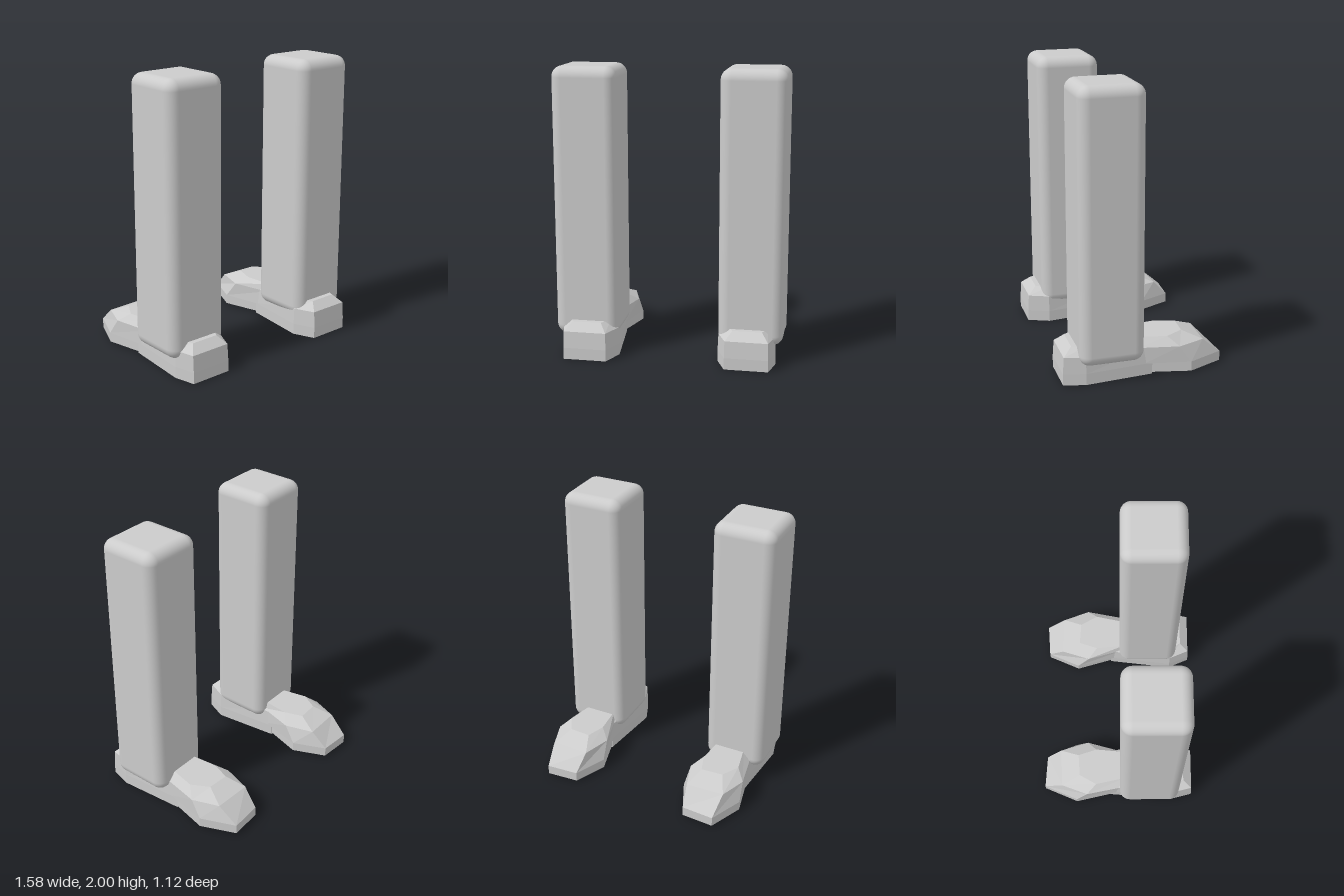
import * as THREE from 'three';
import { RoundedBoxGeometry } from 'three/addons/geometries/RoundedBoxGeometry.js';

const smooth = new THREE.MeshStandardMaterial({ color: 0xcccccc });
const faceted = new THREE.MeshStandardMaterial({ color: 0xcccccc, flatShading: true });

// Joins closed rings { y, pts: [x, z] } from bottom to top and caps both ends.
// Points run clockwise seen from above; side = -1 mirrors across x.
function loft(rings, side) {
  const n = rings[0].pts.length;
  const pos = [];
  const index = [];
  for (const { y, pts } of rings) {
    const ring = pts.map(([x, z]) => [x * side, y, z]);
    if (side < 0) ring.reverse();
    ring.forEach((p) => pos.push(...p));
  }
  for (let r = 0; r < rings.length - 1; r++) {
    for (let i = 0; i < n; i++) {
      const a = r * n + i, b = r * n + (i + 1) % n;
      index.push(a, a + n, b, b, a + n, b + n);
    }
  }
  const top = (rings.length - 1) * n;
  for (let i = 1; i < n - 1; i++) {
    index.push(0, i, i + 1);
    index.push(top, top + i + 1, top + i);
  }
  const g = new THREE.BufferGeometry();
  g.setAttribute('position', new THREE.Float32BufferAttribute(pos, 3));
  g.setIndex(index);
  const flat = g.toNonIndexed();
  flat.computeVertexNormals();
  return flat;
}

// Outlines of the left shoe
const heelBase = [[0.705, 0.56], [0.408, 0.56], [0.345, 0.41], [0.4, -0.06], [0.705, -0.06], [0.742, 0.41]];
const heelMid = [[0.703, 0.552], [0.41, 0.552], [0.35, 0.41], [0.405, -0.03], [0.7, -0.03], [0.738, 0.41]];
const heelTop = [[0.655, 0.49], [0.455, 0.49], [0.405, 0.4], [0.47, 0.06], [0.64, 0.06], [0.685, 0.4]];
const toeBase = [[0.405, -0.06], [0.33, -0.32], [0.43, -0.55], [0.66, -0.565], [0.763, -0.32], [0.705, -0.06]];
const toeMid = [[0.42, 0.04], [0.345, -0.235], [0.408, -0.44], [0.68, -0.43], [0.75, -0.24], [0.695, 0.04]];
const toeTop = [[0.435, 0.04], [0.415, -0.17], [0.46, -0.305], [0.615, -0.295], [0.685, -0.17], [0.64, 0.04]];
const toeUpperBase = toeBase.map(([x, z]) => [x, z === -0.06 ? 0 : z]);

function addMesh(parent, name, geometry, material) {
  const mesh = new THREE.Mesh(geometry, material);
  mesh.name = name;
  parent.add(mesh);
  return mesh;
}

export function createModel() {
  const model = new THREE.Group();
  model.name = 'legsWithShoes';

  for (const [label, side] of [['left', 1], ['right', -1]]) {
    const half = new THREE.Group();
    half.name = label + 'LegAndShoe';
    half.position.x = -0.003;
    model.add(half);

    // Rounded square leg
    const leg = addMesh(half, label + 'Leg', new RoundedBoxGeometry(0.445, 1.867, 0.445, 5, 0.075), smooth);
    leg.position.set(side * 0.568, 1.0665, 0.232);

    // Low-poly shoe: soles and bevelled uppers
    const shoe = new THREE.Group();
    shoe.name = label + 'Shoe';
    half.add(shoe);
    addMesh(shoe, 'heelSole', loft([{ y: 0, pts: heelBase }, { y: 0.08, pts: heelBase }], side), faceted);
    addMesh(shoe, 'heelUpper', loft([
      { y: 0.08, pts: heelBase }, { y: 0.197, pts: heelMid }, { y: 0.252, pts: heelTop },
    ], side), faceted);
    addMesh(shoe, 'toeSole', loft([{ y: 0.012, pts: toeBase }, { y: 0.08, pts: toeBase }], side), faceted);
    addMesh(shoe, 'toeUpper', loft([
      { y: 0.08, pts: toeUpperBase }, { y: 0.197, pts: toeMid }, { y: 0.254, pts: toeTop },
    ], side), faceted);
  }
  return model;
}
